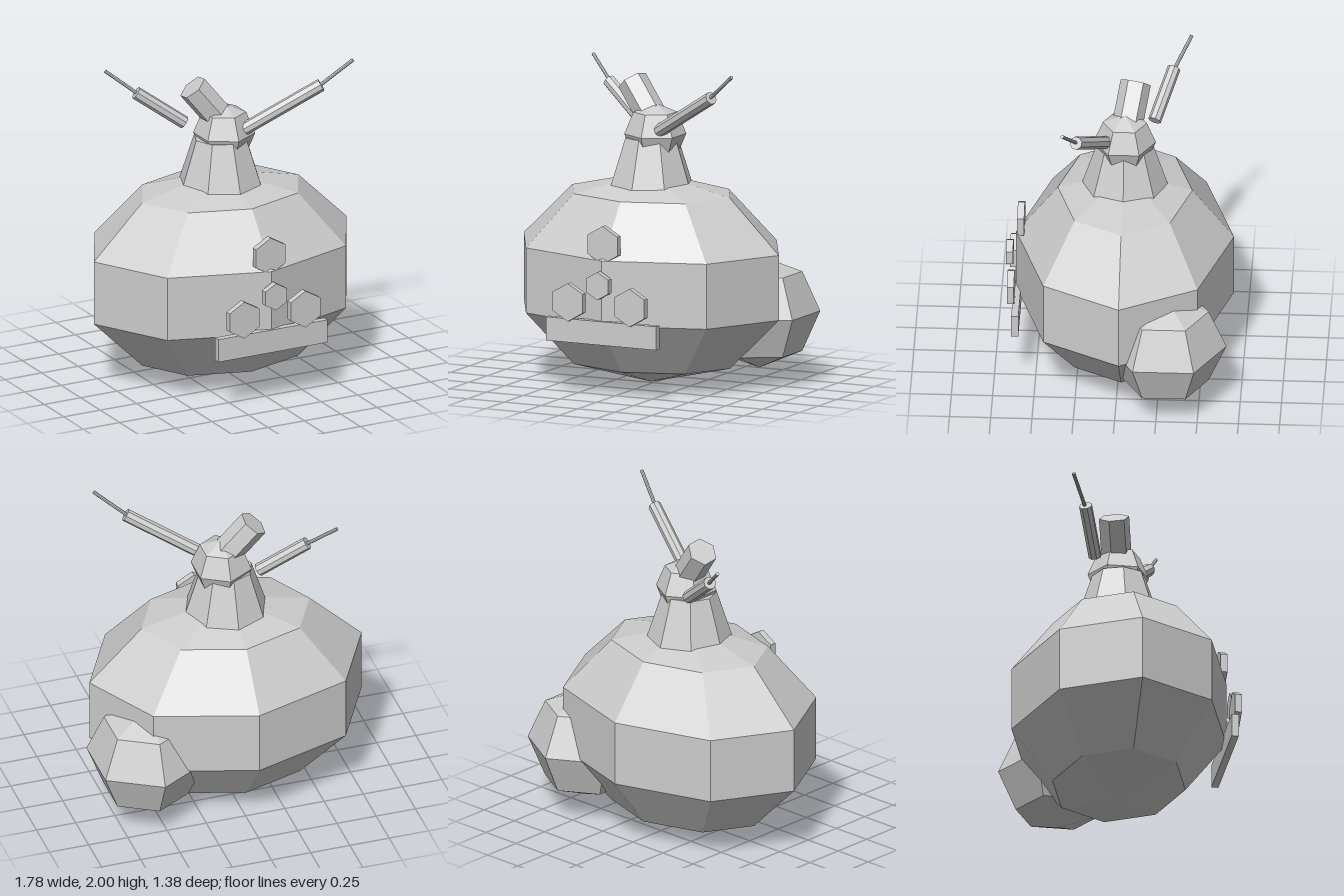
import * as THREE from 'three';

const grey = new THREE.MeshStandardMaterial({ color: 0xcccccc, flatShading: true });
grey.name = 'plain grey';

export function createModel() {
  const group = new THREE.Group();
  const V = (x, y, z) => new THREE.Vector3(x, y, z);

  function add(name, geometry, x, y, z) {
    const mesh = new THREE.Mesh(geometry, grey);
    mesh.name = name;
    mesh.position.set(x, y, z);
    group.add(mesh);
    return mesh;
  }

  // Straight prism between two points
  function rod(name, a, b, radius, sides, turn = 0) {
    const geometry = new THREE.CylinderGeometry(radius, radius, a.distanceTo(b), sides);
    geometry.rotateY(turn);
    const mid = a.clone().add(b).multiplyScalar(0.5);
    const mesh = add(name, geometry, mid.x, mid.y, mid.z);
    mesh.quaternion.setFromUnitVectors(V(0, 1, 0), b.clone().sub(a).normalize());
  }

  // Faceted ball
  function ball(name, x, y, z, rx, ry, rz, around, rows, turn = 0) {
    const geometry = new THREE.SphereGeometry(1, around, rows);
    geometry.rotateY(turn);
    geometry.scale(rx, ry, rz);
    add(name, geometry, x, y, z);
  }

  // Main masses
  ball('body', -0.027, 0.65, -0.028, 0.912, 0.647, 0.694, 8, 5);
  ball('sideBulge', 0.567, 0.44, -0.3, 0.37, 0.345, 0.37, 6, 4, Math.PI / 6);
  add('neck', new THREE.CylinderGeometry(0.165, 0.265, 0.31, 8), -0.027, 1.355, -0.028);
  ball('head', 0, 1.53, -0.028, 0.188, 0.19, 0.188, 6, 4, Math.PI / 6);

  // Stubby prism leaning out of the head
  rod('headStub', V(-0.02, 1.62, -0.04), V(-0.187, 1.835, -0.085), 0.093, 6);

  // Two barrels with thin tips
  rod('leftBarrel', V(0.08, 1.57, 0.075), V(0.52, 1.835, 0.245), 0.04, 8);
  rod('leftBarrelTip', V(0.49, 1.815, 0.235), V(0.698, 1.99, 0.32), 0.011, 8);
  rod('rightBarrel', V(-0.18, 1.57, -0.2), V(-0.457, 1.775, -0.305), 0.04, 8);
  rod('rightBarrelTip', V(-0.43, 1.755, -0.295), V(-0.615, 1.91, -0.405), 0.011, 8);

  // Front bar and hexagonal tiles
  add('frontBar', new THREE.BoxGeometry(0.75, 0.145, 0.043), -0.025, 0.407, 0.623);
  const tiles = [
    ['rightTile', -0.236, 0.585, 0.653, 0.117],
    ['leftTile', 0.183, 0.585, 0.653, 0.117],
    ['centreTile', -0.027, 0.705, 0.669, 0.086],
    ['upperTile', -0.027, 0.945, 0.6, 0.117],
  ];
  for (const [name, x, y, z, r] of tiles) {
    const geometry = new THREE.CylinderGeometry(r, r, 0.042, 6);
    geometry.rotateX(Math.PI / 2);
    add(name, geometry, x, y, z);
  }

  return group;
}
